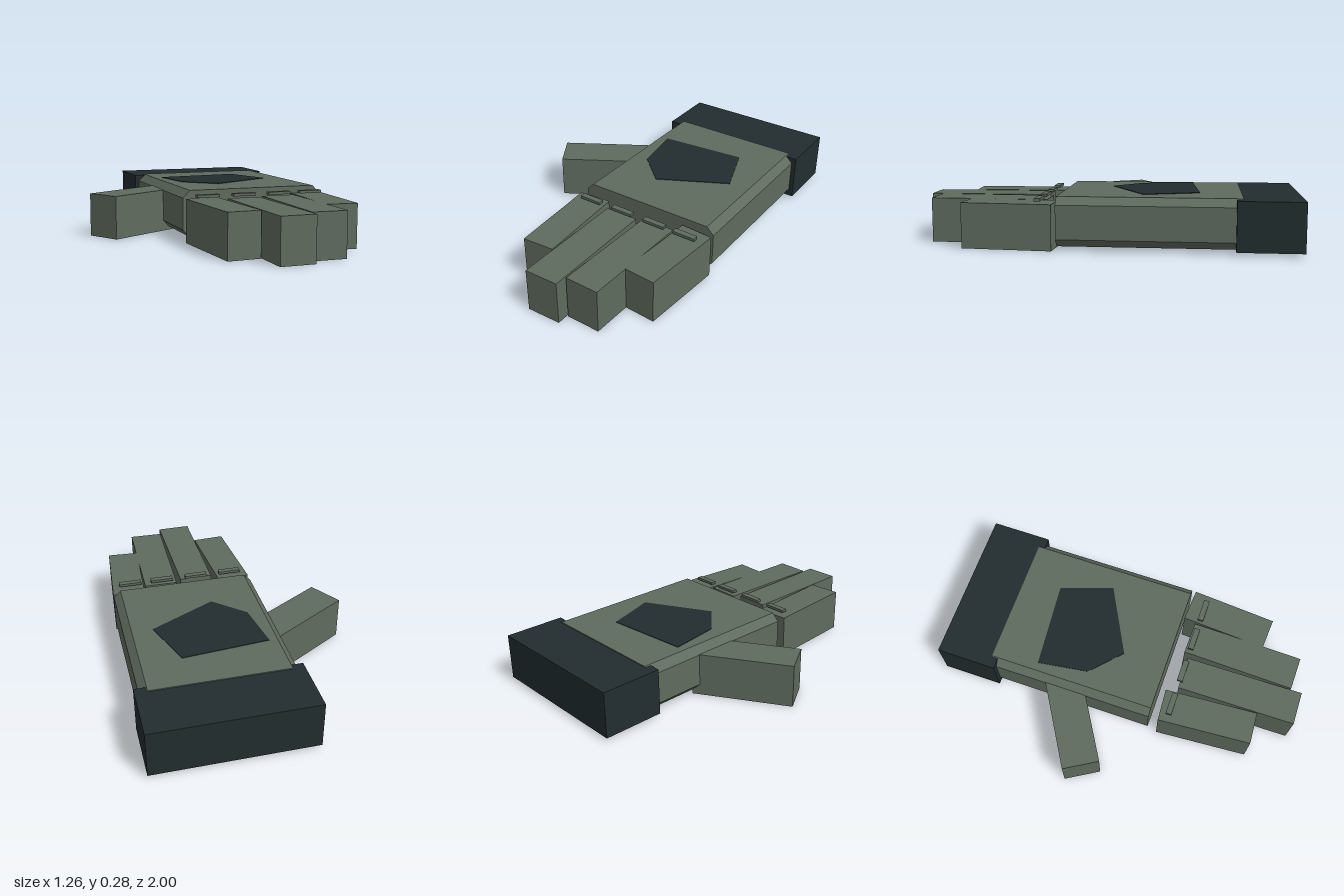
import * as THREE from 'three';

const olive = new THREE.MeshStandardMaterial({ name: 'olive fabric', color: 0x5f6b5e });
const dark = new THREE.MeshStandardMaterial({ name: 'dark trim', color: 0x222d2f });

// Upright prism from a floor outline of [x, z] points
function prism(name, outline, y0, y1, material) {
  const shape = new THREE.Shape(outline.map(([x, z]) => new THREE.Vector2(x, -z)));
  const geometry = new THREE.ExtrudeGeometry(shape, { depth: y1 - y0, bevelEnabled: false });
  geometry.rotateX(-Math.PI / 2).translate(0, y0, 0);
  const mesh = new THREE.Mesh(geometry, material);
  mesh.name = name;
  return mesh;
}

// Box given by its limits on each axis
function box(name, [x0, x1], [y0, y1], [z0, z1], material) {
  const mesh = new THREE.Mesh(new THREE.BoxGeometry(x1 - x0, y1 - y0, z1 - z0), material);
  mesh.position.set((x0 + x1) / 2, (y0 + y1) / 2, (z0 + z1) / 2);
  mesh.name = name;
  return mesh;
}

// Palm: box with its four long edges chamfered
function palm() {
  const [x0, x1, y0, y1, c] = [-0.205, 0.605, 0.02, 0.275, 0.04];
  const section = [
    [x0 + c, y0], [x1 - c, y0], [x1, y0 + c], [x1, y1 - c],
    [x1 - c, y1], [x0 + c, y1], [x0, y1 - c], [x0, y0 + c],
  ];
  const shape = new THREE.Shape(section.map(([x, y]) => new THREE.Vector2(x, y)));
  const geometry = new THREE.ExtrudeGeometry(shape, { depth: 0.936, bevelEnabled: false });
  geometry.translate(0, 0, -0.7);
  const mesh = new THREE.Mesh(geometry, olive);
  mesh.name = 'palm';
  return mesh;
}

export function createModel() {
  const glove = new THREE.Group();
  glove.name = 'glove';

  glove.add(palm());
  glove.add(box('cuff', [-0.23, 0.63], [0.017, 0.27], [-1, -0.665], dark));

  // Thumb and slightly fanned fingers
  const digits = {
    thumb: [[-0.635, -0.11], [-0.53, 0.065], [-0.064, -0.215], [-0.169, -0.39]],
    indexFinger: [[-0.205, 0.29], [-0.025, 0.278], [0.01, 0.795], [-0.168, 0.806]],
    middleFinger: [[0.01, 0.34], [0.195, 0.336], [0.203, 0.997], [0.016, 1]],
    ringFinger: [[0.225, 0.308], [0.41, 0.312], [0.397, 0.938], [0.21, 0.934]],
    littleFinger: [[0.425, 0.245], [0.605, 0.258], [0.571, 0.73], [0.397, 0.718]],
  };
  for (const [name, outline] of Object.entries(digits)) {
    glove.add(prism(name, outline, 0, 0.237, olive));
  }

  // Knuckle plates hovering just above the fingers
  const plates = [[-0.161, -0.036], [0.042, 0.169], [0.245, 0.373], [0.432, 0.559]];
  plates.forEach((xs, i) => {
    glove.add(box(`knucklePlate${i + 1}`, xs, [0.247, 0.262], [0.32, 0.352], olive));
  });

  // Five-sided patch on the back of the hand
  const patch = [[-0.12, -0.442], [0.352, -0.485], [0.452, -0.197], [0.089, -0.006], [-0.079, -0.163]];
  glove.add(prism('backPatch', patch, 0.273, 0.278, dark));

  return glove;
}
